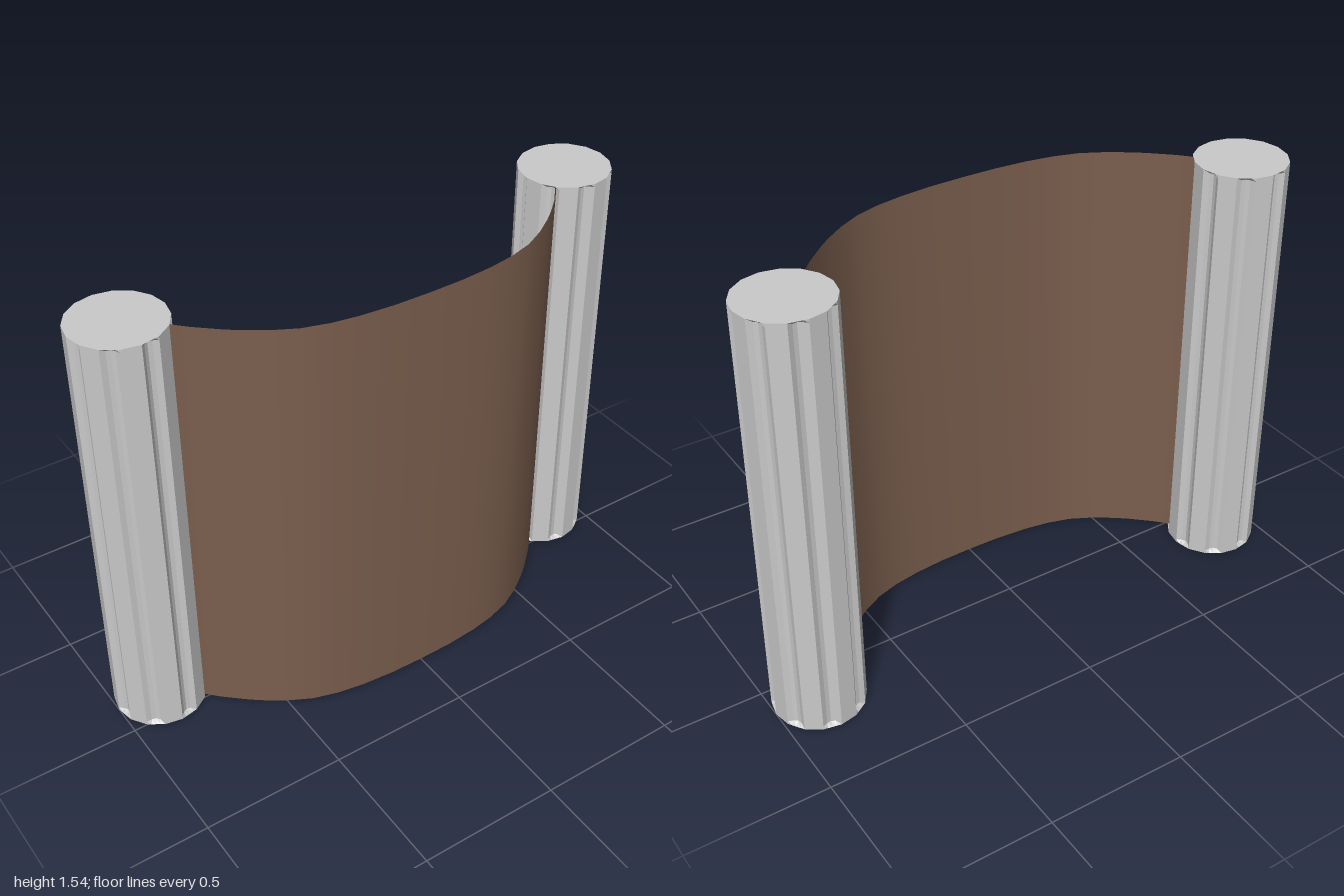
import * as THREE from 'three';

const HEIGHT = 1.54;
const RADIUS = 0.16;

const stone = new THREE.MeshStandardMaterial({ color: 0xcacaca });
stone.name = 'light grey';
const hide = new THREE.MeshStandardMaterial({ color: 0x7a5e4d, side: THREE.DoubleSide });
hide.name = 'brown';

// Sixteen-sided post: every second side is a shallow flute closed by full end caps
function flutedPost() {
  const steps = 4, side = Math.PI / 8, depth = 0.017, scoop = 0.012;
  const flat = [], carved = [];
  for (let i = 0; i < 16; i++) {
    const a = i * side;
    const from = new THREE.Vector2(Math.cos(a), Math.sin(a)).multiplyScalar(RADIUS);
    const to = new THREE.Vector2(Math.cos(a + side), Math.sin(a + side)).multiplyScalar(RADIUS);
    const n = i % 2 === 0 ? steps : 1;
    for (let k = 0; k < n; k++) {
      const p = from.clone().lerp(to, k / n);
      flat.push(p);
      carved.push(p.clone().multiplyScalar(1 - (depth / RADIUS) * Math.sin(Math.PI * k / n)));
    }
  }
  const rings = [[flat, 0], [carved, scoop], [carved, HEIGHT - scoop], [flat, HEIGHT]];
  const count = flat.length, pos = [];
  const put = (r, i) => {
    const p = rings[r][0][i % count];
    pos.push(p.x, rings[r][1], p.y);
  };
  for (let i = 0; i < count; i++) {
    for (let r = 0; r < 3; r++) {
      put(r, i); put(r + 1, i); put(r + 1, i + 1);
      put(r, i); put(r + 1, i + 1); put(r, i + 1);
    }
    // End caps
    pos.push(0, HEIGHT, 0); put(3, i + 1); put(3, i);
    pos.push(0, 0, 0); put(0, i); put(0, i + 1);
  }
  const geo = new THREE.BufferGeometry();
  geo.setAttribute('position', new THREE.Float32BufferAttribute(pos, 3));
  geo.computeVertexNormals();
  return geo;
}

// Thin sheet bowed forward between the posts
function bowedSheet() {
  const half = [[0.76, -0.08], [0.715, -0.005], [0.645, 0.065], [0.565, 0.133], [0.42, 0.22], [0.24, 0.262]];
  const pts = [
    ...half.map(([x, z]) => new THREE.Vector3(-x, 0, z)),
    new THREE.Vector3(0, 0, 0.274),
    ...half.slice().reverse().map(([x, z]) => new THREE.Vector3(x, 0, z)),
  ];
  const curve = new THREE.CatmullRomCurve3(pts);
  const n = 24, h = HEIGHT - 0.008;
  const geo = new THREE.PlaneGeometry(1, h, n, 1);
  const p = geo.attributes.position;
  for (let i = 0; i < p.count; i++) {
    const c = curve.getPoint(THREE.MathUtils.clamp(p.getX(i) + 0.5, 0, 1));
    p.setXYZ(i, c.x, p.getY(i) + h / 2 + 0.003, c.z);
  }
  geo.computeVertexNormals();
  return geo;
}

export function createModel() {
  const model = new THREE.Group();
  model.name = 'curvedScreen';

  const postGeo = flutedPost();
  for (const s of [1, -1]) {
    const post = new THREE.Mesh(postGeo, stone);
    post.name = s > 0 ? 'leftPost' : 'rightPost';
    post.position.set(s * 0.84, 0, -0.115);
    // Turning by one side mirrors the flute pattern
    if (s < 0) post.rotation.y = Math.PI / 8;
    model.add(post);
  }

  const sheet = new THREE.Mesh(bowedSheet(), hide);
  sheet.name = 'curvedSheet';
  model.add(sheet);
  return model;
}
